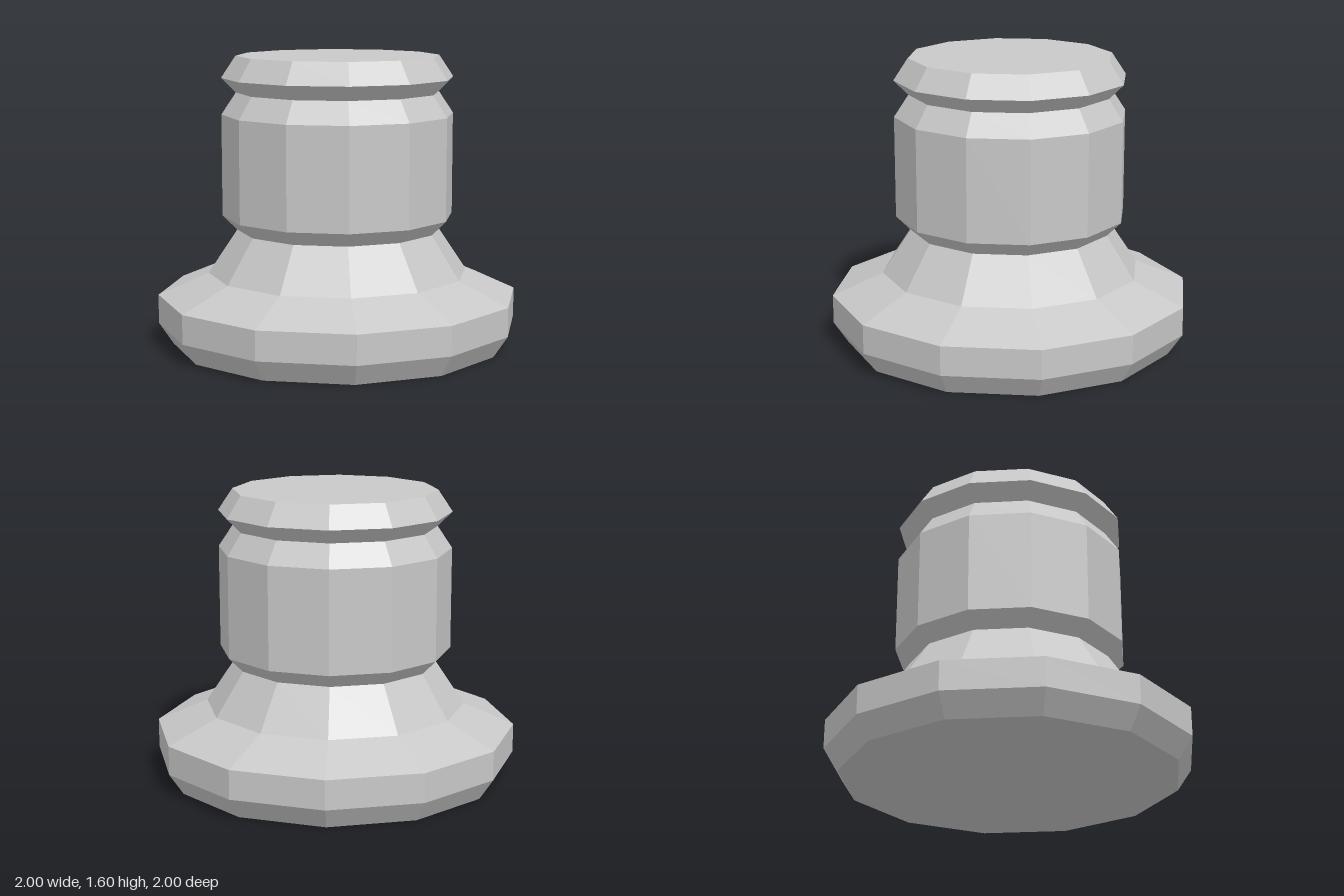
import * as THREE from 'three';

const SIDES = 12;

export function createModel() {
  const group = new THREE.Group();
  group.name = 'turnedKnob';
  const grey = new THREE.MeshStandardMaterial({ color: 0xc8c8c8 });
  grey.name = 'plain grey';

  // Faceted ring of revolution from [radius, height] pairs, bottom to top
  function addBand(name, profile) {
    const points = profile.map(([r, y]) => new THREE.Vector2(r, y));
    const geometry = new THREE.LatheGeometry(points, SIDES).toNonIndexed();
    geometry.computeVertexNormals();
    const mesh = new THREE.Mesh(geometry, grey);
    mesh.name = name;
    group.add(mesh);
  }

  // Flat disc closing an end; facing is 1 for up, -1 for down
  function addCap(name, radius, y, facing) {
    const geometry = new THREE.CircleGeometry(radius, SIDES);
    geometry.rotateX(-facing * Math.PI / 2);
    geometry.translate(0, y, 0);
    const mesh = new THREE.Mesh(geometry, grey);
    mesh.name = name;
    group.add(mesh);
  }

  addCap('underside', 0.92, 0, -1);
  addBand('base', [[0.92, 0], [1, 0.12], [1, 0.28], [0.72, 0.4]]);
  addBand('neck', [[0.72, 0.4], [0.56, 0.64]]);
  addBand('body', [[0.56, 0.64], [0.64, 0.72], [0.64, 1.28], [0.56, 1.4]]);
  addBand('rim', [[0.56, 1.4], [0.64, 1.48], [0.56, 1.6]]);
  addCap('top', 0.56, 1.6, 1);

  return group;
}
